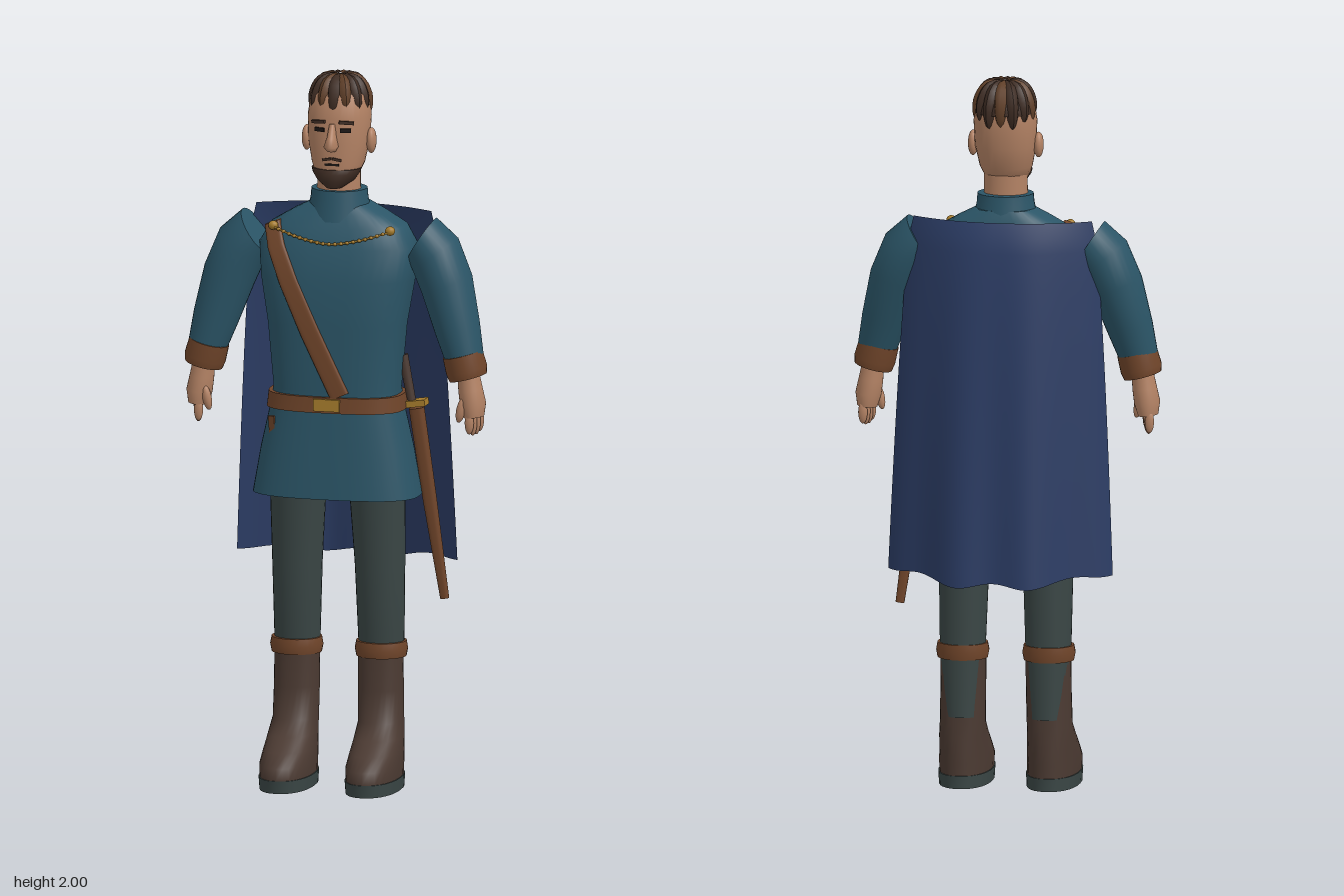
import * as THREE from 'three';

const mat = (name, color, extra = {}) => Object.assign(new THREE.MeshStandardMaterial({ color, ...extra }), { name });

// Skin over elliptical rings [x, y, z, rx, rz, tilt], listed from bottom to top.
// power below 1 makes the rings squarer; both ends are capped.
function loft(rings, power = 1, sides = 28) {
  const pos = [], index = [];
  const soft = (v) => Math.sign(v) * Math.abs(v) ** power;
  const addRing = ([x, y, z, rx, rz, tilt = 0]) => {
    for (let j = 0; j < sides; j++) {
      const a = (j / sides) * Math.PI * 2;
      const u = rx * soft(Math.cos(a));
      pos.push(x + u * Math.cos(tilt), y + u * Math.sin(tilt), z + rz * soft(Math.sin(a)));
    }
  };
  rings.forEach(addRing);
  for (let i = 0; i < rings.length - 1; i++) {
    for (let j = 0; j < sides; j++) {
      const a = i * sides + j, b = i * sides + (j + 1) % sides;
      index.push(a, a + sides, b, b, a + sides, b + sides);
    }
  }
  for (const top of [false, true]) {
    const ring = rings[top ? rings.length - 1 : 0];
    const start = pos.length / 3;
    addRing(ring);
    pos.push(ring[0], ring[1], ring[2]);
    for (let j = 0; j < sides; j++) {
      const a = start + j, b = start + (j + 1) % sides;
      index.push(start + sides, ...(top ? [b, a] : [a, b]));
    }
  }
  const geo = new THREE.BufferGeometry();
  geo.setAttribute('position', new THREE.Float32BufferAttribute(pos, 3));
  geo.setIndex(index);
  geo.computeVertexNormals();
  return geo;
}

// Ring given by its front and back depth
const ring = (y, rx, front, back, x = 0) => [x, y, (front + back) / 2, rx, (front - back) / 2];
const v3 = (x, y, z) => new THREE.Vector3(x, y, z);

export function createModel() {
  const model = new THREE.Group();
  model.name = 'cloakedMan';
  const tunic = mat('tunicTeal', 0x2b5567);
  const navy = mat('capeNavy', 0x2b3c64, { side: THREE.DoubleSide });
  const skin = mat('skin', 0xb38264);
  const cloth = mat('trouserGrey', 0x3a4645);
  const boot = mat('bootBrown', 0x4b3a32);
  const leather = mat('leather', 0x70452a);
  const hair = mat('hairDark', 0x3f2d24);
  const hairLight = mat('hairLight', 0x614029);
  const gold = mat('gold', 0xa67c2c);
  const ink = mat('eyeDark', 0x1c1614);

  const add = (name, geo, material, parent = model) => {
    const mesh = new THREE.Mesh(geo, material);
    mesh.name = name;
    parent.add(mesh);
    return mesh;
  };
  const box = (name, material, size, at, turn = [0, 0, 0], parent = model) => {
    const mesh = add(name, new THREE.BoxGeometry(...size), material, parent);
    mesh.position.set(...at);
    mesh.rotation.set(...turn);
    return mesh;
  };
  const ball = (name, material, scale, at, parent = model) => {
    const mesh = add(name, new THREE.SphereGeometry(1, 16, 12), material, parent);
    mesh.scale.set(...scale);
    mesh.position.set(...at);
    return mesh;
  };

  // Tunic with flared skirt, and standing collar
  add('tunic', loft([
    ring(0.82, 0.235, 0.155, -0.1), ring(0.95, 0.212, 0.148, -0.095), ring(1.07, 0.185, 0.138, -0.085),
    ring(1.12, 0.177, 0.136, -0.083), ring(1.3, 0.193, 0.143, -0.09), ring(1.43, 0.215, 0.139, -0.1),
    ring(1.52, 0.222, 0.12, -0.1), ring(1.575, 0.19, 0.098, -0.09), ring(1.61, 0.13, 0.08, -0.08),
    ring(1.635, 0.08, 0.068, -0.07),
  ], 0.72, 40), tunic);
  add('collar', loft([
    ring(1.59, 0.092, 0.092, -0.08), ring(1.65, 0.08, 0.083, -0.07), ring(1.675, 0.078, 0.078, -0.066),
  ]), tunic);

  // Belt, buckle and hanging strap end
  add('belt', loft([ring(1.063, 0.195, 0.149, -0.094), ring(1.107, 0.19, 0.147, -0.092)], 0.72, 40), leather);
  box('buckle', gold, [0.075, 0.034, 0.012], [0, 1.086, 0.149]);
  box('strapEnd', leather, [0.022, 0.05, 0.01], [-0.165, 1.015, 0.106], [0, -0.5, 0.1]);

  // Diagonal chest strap
  add('chestStrap', loft([
    [0.035, 1.11, 0.138, 0.027, 0.009, 0.42], [-0.05, 1.29, 0.143, 0.027, 0.009, 0.42],
    [-0.115, 1.43, 0.132, 0.026, 0.009, 0.4], [-0.155, 1.52, 0.104, 0.025, 0.012, 0.38],
    [-0.175, 1.58, 0.066, 0.023, 0.016, 0.38],
  ], 0.5), leather);

  // Chain across the chest with its two fastenings
  const chain = new THREE.CatmullRomCurve3([
    v3(-0.165, 1.572, 0.1), v3(-0.085, 1.548, 0.116), v3(0, 1.535, 0.122), v3(0.085, 1.548, 0.116), v3(0.165, 1.572, 0.1),
  ]);
  add('chain', new THREE.TubeGeometry(chain, 32, 0.003, 6), gold);
  for (let i = 1; i < 20; i++) ball('chainLink', gold, [0.006, 0.005, 0.005], chain.getPoint(i / 20).toArray());
  for (const s of [1, -1]) ball('fastening', gold, [0.014, 0.013, 0.013], [s * 0.167, 1.575, 0.092]);

  // Sheathed sword on the left hip
  add('scabbard', loft([
    [0.288, 0.52, -0.042, 0.012, 0.011, 0.14], [0.25, 0.8, -0.025, 0.019, 0.017, 0.14],
    [0.216, 1.06, -0.01, 0.021, 0.019, 0.14],
  ], 0.7), leather);
  add('swordGrip', loft([[0.205, 1.08, 0, 0.012, 0.012, 0.2], [0.18, 1.21, 0, 0.014, 0.014, 0.2]]), boot);
  box('swordGuard', gold, [0.07, 0.018, 0.045], [0.212, 1.075, -0.002], [0, 0, 0.14]);

  for (const s of [1, -1]) {
    const side = new THREE.Group();
    side.name = s > 0 ? 'leftLimbs' : 'rightLimbs';
    model.add(side);
    const flip = (rings) => rings.map(([x, y, z, rx, rz, t = 0]) => [s * x, y, z, rx, rz, s * t]);

    // Leg, boot and sole
    add('trouserLeg', loft(flip([
      ring(0.2, 0.048, 0.03, -0.052, 0.12), ring(0.4, 0.064, 0.066, -0.052, 0.12), ring(0.62, 0.07, 0.082, -0.052, 0.118),
      ring(0.84, 0.079, 0.1, -0.05, 0.113),
    ])), cloth, side);
    add('boot', loft(flip([
      ring(0.035, 0.072, 0.235, -0.053, 0.123), ring(0.07, 0.073, 0.235, -0.053, 0.123),
      ring(0.105, 0.07, 0.19, -0.052, 0.123), ring(0.14, 0.067, 0.135, -0.05, 0.123),
      ring(0.18, 0.063, 0.083, -0.048, 0.122), ring(0.27, 0.063, 0.073, -0.046, 0.12),
      ring(0.375, 0.063, 0.07, -0.046, 0.119),
    ]), 0.9), boot, side);
    add('sole', loft(flip([ring(0, 0.073, 0.233, -0.055, 0.123), ring(0.036, 0.075, 0.238, -0.056, 0.123)]), 0.9), cloth, side);
    add('bootBand', loft(flip([
      ring(0.362, 0.07, 0.076, -0.055, 0.121), ring(0.383, 0.074, 0.08, -0.058, 0.121), ring(0.405, 0.07, 0.076, -0.056, 0.121),
    ])), leather, side);

    // Sleeve and cuff
    add('sleeve', loft(flip([
      [0.37, 1.21, 0.045, 0.053, 0.055, 0.3], [0.345, 1.3, 0.035, 0.064, 0.066, 0.3],
      [0.31, 1.42, 0.018, 0.074, 0.081, 0.36], [0.276, 1.5, 0.012, 0.077, 0.085, 0.65],
      [0.238, 1.542, 0.01, 0.07, 0.075, 1.0],
    ])), tunic, side);
    add('cuff', loft(flip([
      [0.378, 1.165, 0.045, 0.053, 0.057, 0.25], [0.374, 1.185, 0.045, 0.058, 0.061, 0.25],
      [0.362, 1.23, 0.045, 0.056, 0.06, 0.25],
    ])), leather, side);

    // Hand with four fingers and a thumb
    add('palm', loft(flip([
      [0.394, 1.055, 0.042, 0.028, 0.037, 0.1], [0.391, 1.09, 0.042, 0.036, 0.042, 0.1],
      [0.384, 1.13, 0.042, 0.034, 0.036, 0.1], [0.378, 1.175, 0.042, 0.03, 0.032, 0.1],
    ])), skin, side);
    for (let i = 0; i < 4; i++) {
      ball('finger', skin, [0.013, i % 3 ? 0.038 : 0.032, 0.01], [s * (0.402 - 0.005 * i), 1.04, 0.014 + 0.018 * i], side);
    }
    ball('thumb', skin, [0.013, 0.036, 0.013], [s * 0.363, 1.075, 0.068], side).rotation.z = s * -0.2;

    // Ear, eye and brow
    ball('ear', skin, [0.014, 0.036, 0.022], [s * 0.092, 1.812, 0.01], side);
    box('eye', ink, [0.03, 0.011, 0.006], [s * 0.037, 1.85, 0.084], [0, s * 0.35, 0], side);
    box('brow', hair, [0.042, 0.009, 0.009], [s * 0.04, 1.872, 0.084], [0, s * 0.35, s * -0.08], side);
    box('moustache', hair, [0.026, 0.007, 0.008], [s * 0.014, 1.768, 0.09], [0, s * 0.15, s * -0.2], side);
  }

  // Neck, head and face
  add('neck', loft([ring(1.62, 0.062, 0.066, -0.042), ring(1.75, 0.06, 0.06, -0.04)]), skin);
  add('head', loft([
    ring(1.695, 0.038, 0.082, 0.0), ring(1.715, 0.058, 0.088, -0.03), ring(1.75, 0.073, 0.09, -0.055),
    ring(1.81, 0.085, 0.09, -0.072), ring(1.88, 0.088, 0.088, -0.08), ring(1.94, 0.08, 0.076, -0.075),
    ring(1.97, 0.055, 0.05, -0.05),
  ], 0.92), skin);
  add('nose', loft([
    [0, 1.792, 0.094, 0.012, 0.014], [0, 1.806, 0.1, 0.02, 0.029], [0, 1.83, 0.092, 0.013, 0.022], [0, 1.868, 0.084, 0.008, 0.01],
  ]), skin);
  add('beard', loft([
    ring(1.685, 0.022, 0.09, 0.035), ring(1.705, 0.052, 0.099, -0.01), ring(1.725, 0.066, 0.1, -0.02),
    ring(1.738, 0.07, 0.094, -0.02),
  ]), hair);
  box('mouth', ink, [0.04, 0.006, 0.006], [0, 1.753, 0.089]);

  // Hair: dark cap under tapered locks running from the crown
  ball('hairCap', hair, [0.084, 0.088, 0.084], [0, 1.905, -0.003]).geometry =
    new THREE.SphereGeometry(1, 28, 10, 0, Math.PI * 2, 0, Math.PI * 0.5);
  const locks = 14;
  for (let i = 0; i < locks; i++) {
    const a = (i / locks) * Math.PI * 2;
    const end = 1.888 - 0.014 * Math.cos(a + Math.PI) + (i % 2) * 0.01;
    const at = (r, y) => v3(r * Math.sin(a), y, r * Math.cos(a) - 0.003);
    const path = new THREE.CatmullRomCurve3([at(0.008, 1.982), at(0.045, 1.975), at(0.068, 1.94), at(0.075, 1.91), at(0.075, end - 0.012)]);
    const geo = new THREE.TubeGeometry(path, 12, 0.02, 8);
    const p = geo.attributes.position, v = v3(0, 0, 0);
    for (let k = 0; k < p.count; k++) {
      const t = Math.floor(k / 9) / 12;
      const width = Math.sqrt(Math.max(0, Math.sin(Math.PI * (0.15 + 0.85 * t))));
      v.fromBufferAttribute(p, k).lerp(path.getPointAt(t), 1 - width);
      p.setXYZ(k, v.x, v.y, v.z);
    }
    geo.computeVertexNormals();
    add('hairLock', geo, i % 3 === 1 ? hairLight : hair);
  }

  // Cape: a sheet bowed round the back, with folds deepening to the hem
  const cape = new THREE.PlaneGeometry(2, 1, 48, 24);
  const cp = cape.attributes.position;
  for (let k = 0; k < cp.count; k++) {
    const u = cp.getX(k), t = 0.5 - cp.getY(k);
    const hem = 0.605 + 0.025 * u * u + 0.008 * Math.cos(3 * Math.PI * u);
    const depth = (0.07 + 0.09 * Math.sqrt(t)) * (1 - Math.abs(u) ** 2.2);
    cp.setXYZ(k, u * (0.25 + 0.065 * t ** 0.6), 1.61 + (hem - 1.61) * t,
      -0.04 - 0.025 * t - depth + 0.012 * t * Math.cos(3 * Math.PI * u));
  }
  cape.computeVertexNormals();
  add('cape', cape, navy);

  return model;
}
